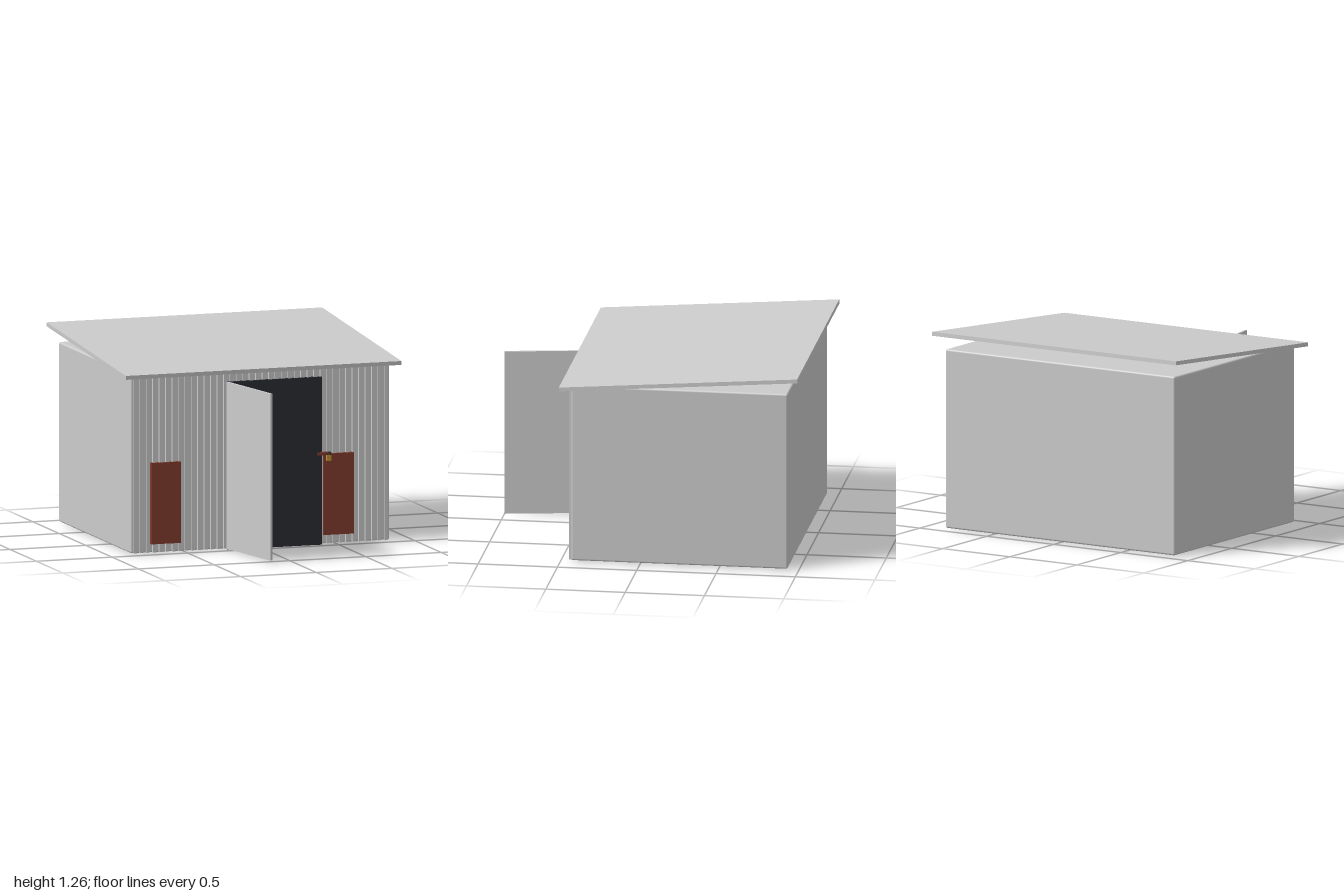
import * as THREE from 'three';
import { RoundedBoxGeometry } from 'three/addons/geometries/RoundedBoxGeometry.js';

const material = (color) => new THREE.MeshStandardMaterial({ color });

export function createModel() {
  const model = new THREE.Group();
  const grey = material(0xcccccc);
  const dark = material(0x2a2c32);
  const rust = material(0x823c2d);
  const brass = material(0xc09432);

  const add = (name, geometry, mat, x, y, z, parent = model) => {
    const mesh = new THREE.Mesh(geometry, mat);
    mesh.name = name;
    mesh.position.set(x, y, z);
    parent.add(mesh);
    return mesh;
  };
  // Box given by its lower and upper limits on each axis
  const box = (name, mat, [x0, x1], [y0, y1], [z0, z1], parent) =>
    add(name, new THREE.BoxGeometry(x1 - x0, y1 - y0, z1 - z0), mat,
      (x0 + x1) / 2, (y0 + y1) / 2, (z0 + z1) / 2, parent);

  // Shed body with softened edges
  add('body', new RoundedBoxGeometry(1.71, 1.135, 1.365, 3, 0.012), grey, 0, 0.5725, -0.2475);

  // Vertical ribs of the corrugated front
  const ribs = new THREE.Group();
  ribs.name = 'frontRibs';
  model.add(ribs);
  const count = 40, pitch = 1.7 / count;
  for (let i = 0; i < count; i++) {
    const x = -0.85 + (i + 0.5) * pitch;
    box('rib', grey, [x - 0.011, x + 0.011], [0.007, 1.125], [0.425, 0.45], ribs);
  }

  // Sloping roof slab
  const roof = add('roof', new THREE.BoxGeometry(1.82, 0.025, 1.507), grey, 0, 1.185, -0.2475);
  roof.rotation.x = Math.atan2(0.115, 1.5);

  // Dark doorway and the open door, hinged at its right edge
  box('doorway', dark, [-0.22, 0.4], [0, 1.06], [0.43, 0.458]);
  const hinge = new THREE.Group();
  hinge.name = 'openDoor';
  hinge.position.set(-0.222, 0, 0.455);
  hinge.rotation.y = Math.atan2(0.1, 0.542);
  model.add(hinge);
  box('doorPanel', grey, [-0.0075, 0.0075], [0.007, 1.06], [0, 0.552], hinge);

  // Rusty patches either side of the door
  box('rightPatch', rust, [-0.727, -0.53], [0.06, 0.573], [0.435, 0.461]);
  box('leftPatch', rust, [0.41, 0.61], [0.06, 0.573], [0.435, 0.461]);

  // Hasp and hanging padlock
  box('hasp', rust, [0.373, 0.455], [0.564, 0.584], [0.445, 0.468]);
  const padlock = new THREE.Group();
  padlock.name = 'padlock';
  padlock.position.set(0.442, 0, 0.471);
  model.add(padlock);
  box('lockBody', brass, [-0.015, 0.015], [0.53, 0.566], [-0.008, 0.008], padlock);
  add('shackle', new THREE.TorusGeometry(0.012, 0.004, 8, 16, Math.PI), dark, 0, 0.573, 0, padlock);
  for (const side of [-1, 1]) {
    add('shackleLeg', new THREE.CylinderGeometry(0.004, 0.004, 0.012, 8), dark, side * 0.012, 0.568, 0, padlock);
  }

  return model;
}
